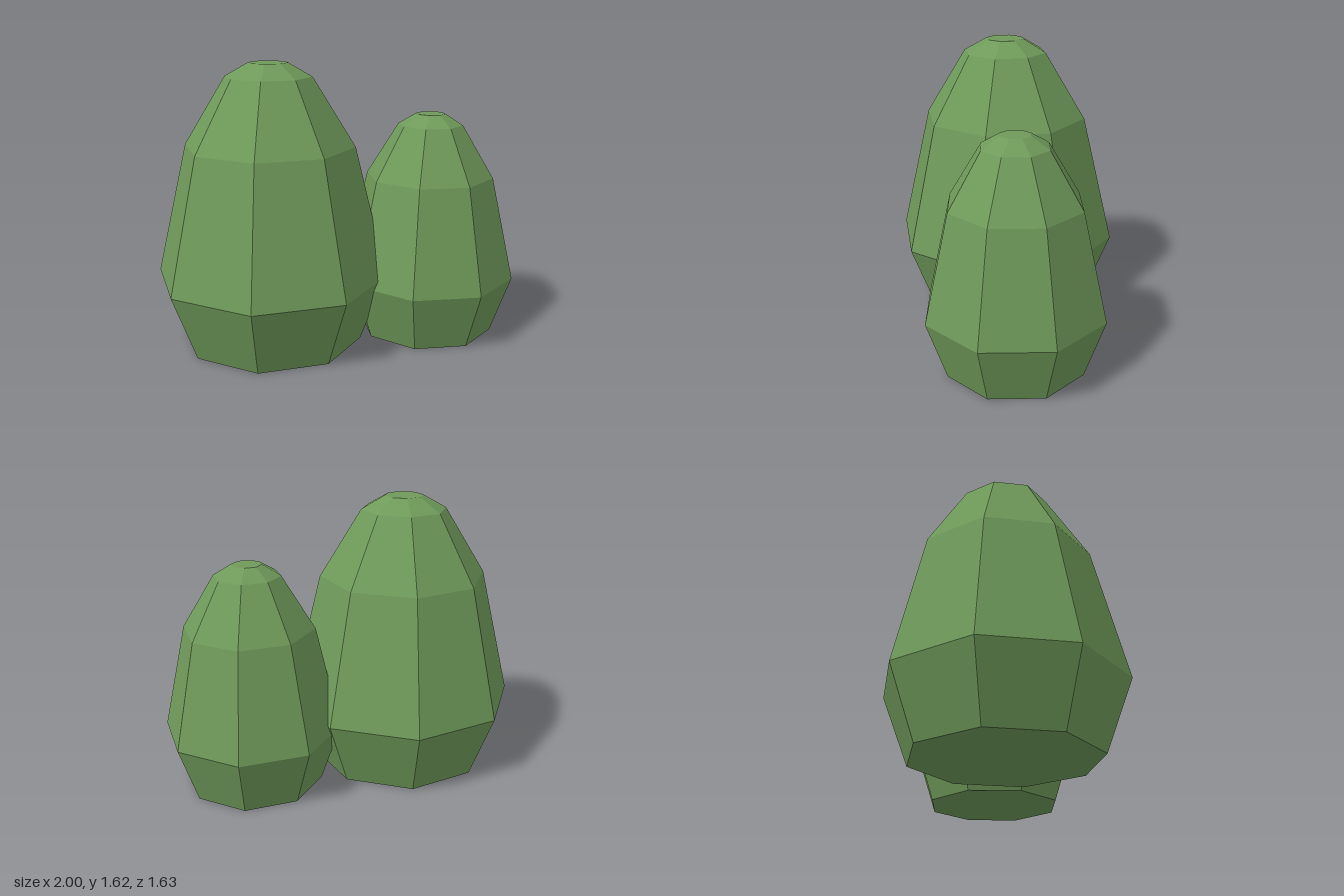
import * as THREE from 'three';

const leaf = new THREE.MeshStandardMaterial({ color: 0x6f9a5a, flatShading: true });

// Eight-sided faceted bush, closed at the bottom and top; rings are [radius, height]
function makeBush(name, x, z, turn, rings) {
  const top = rings[rings.length - 1][1];
  const profile = [[0, 0], ...rings, [0, top]].map(([r, y]) => new THREE.Vector2(r, y));
  const bush = new THREE.Mesh(new THREE.LatheGeometry(profile, 8), leaf);
  bush.name = name;
  bush.position.set(x, 0, z);
  bush.rotation.y = turn;
  return bush;
}

export function createModel() {
  const group = new THREE.Group();
  group.name = 'bushes';

  // Tall bush at the back
  group.add(makeBush('largeBush', -0.33, -0.147, 0, [
    [0.52, 0], [0.67, 0.393], [0.487, 1.15], [0.247, 1.538], [0.112, 1.615],
  ]));

  // Short bush in front, slightly turned
  group.add(makeBush('smallBush', 0.493, 0.309, THREE.MathUtils.degToRad(-9), [
    [0.395, 0], [0.51, 0.338], [0.372, 0.94], [0.188, 1.242], [0.085, 1.305],
  ]));

  return group;
}
